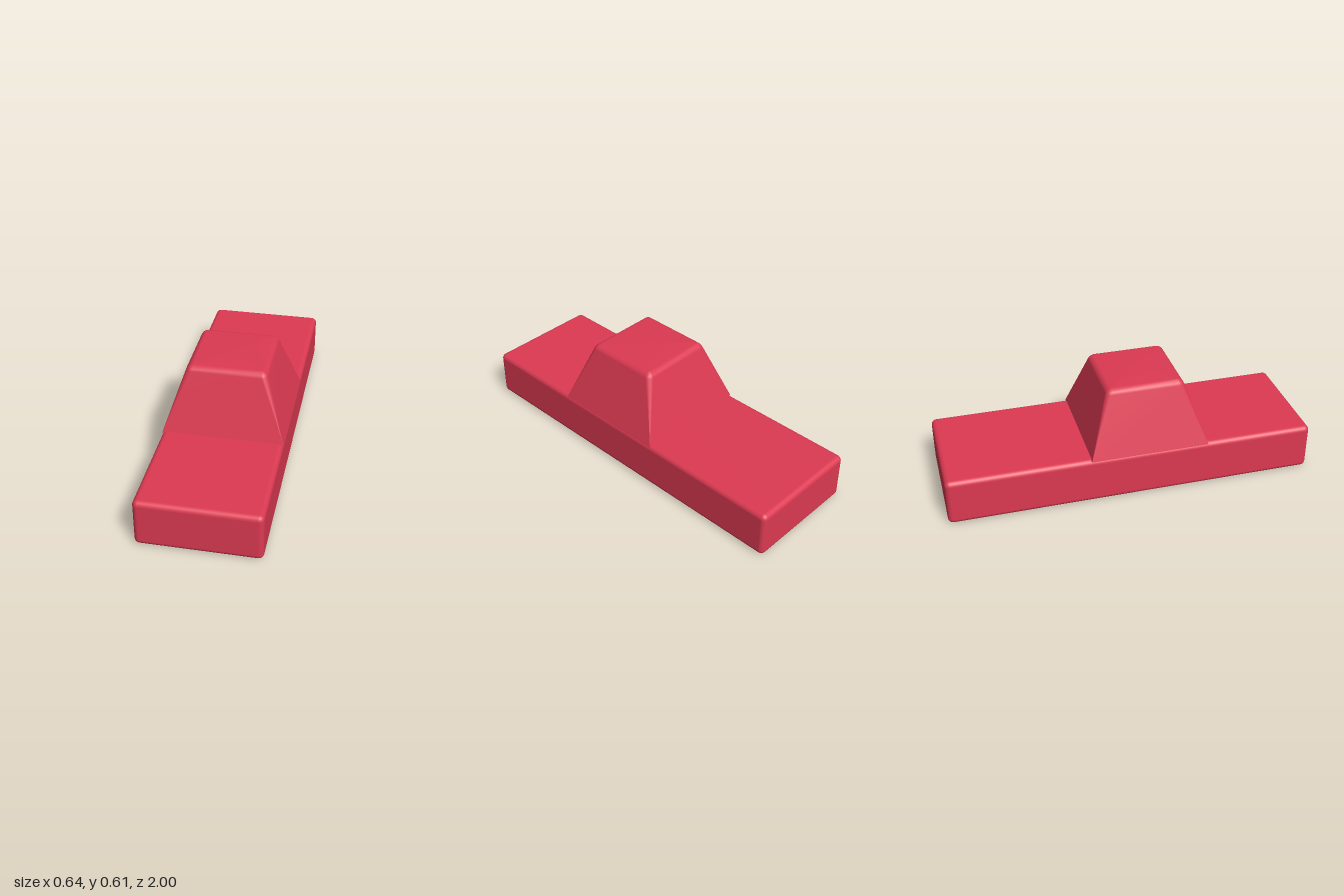
import * as THREE from 'three';
import { RoundedBoxGeometry } from 'three/addons/geometries/RoundedBoxGeometry.js';

const CORNER_STEPS = 4;

// Square ring with rounded corners, as [x, y, z] points
function ring({ y, half, r }) {
  const points = [];
  for (let c = 0; c < 4; c++) {
    const mid = Math.PI / 4 + c * Math.PI / 2;
    const cx = Math.sign(Math.cos(mid)) * (half - r);
    const cz = Math.sign(Math.sin(mid)) * (half - r);
    for (let s = 0; s <= CORNER_STEPS; s++) {
      const a = c * Math.PI / 2 + (s / CORNER_STEPS) * Math.PI / 2;
      points.push([cx + r * Math.cos(a), y, cz + r * Math.sin(a)]);
    }
  }
  return points;
}

// Closed loft through the rings, with a smooth top and a sharp bottom rim
function loft(sections) {
  const rings = sections.map(ring);
  const n = rings[0].length;
  const positions = rings.flat(2);
  const index = [];
  const addPoint = (p) => positions.push(...p) / 3 - 1;

  for (let i = 0; i < rings.length - 1; i++) {
    for (let j = 0; j < n; j++) {
      const k = (j + 1) % n;
      const a = i * n + j, b = i * n + k, c = a + n, d = b + n;
      index.push(a, c, b, b, c, d);
    }
  }

  const last = (rings.length - 1) * n;
  const top = addPoint([0, sections[sections.length - 1].y, 0]);
  const bottom = addPoint([0, sections[0].y, 0]);
  const rim = rings[0].map(addPoint);
  for (let j = 0; j < n; j++) {
    const k = (j + 1) % n;
    index.push(top, last + k, last + j);
    index.push(bottom, rim[j], rim[k]);
  }

  const geometry = new THREE.BufferGeometry();
  geometry.setAttribute('position', new THREE.Float32BufferAttribute(positions, 3));
  geometry.setIndex(index);
  geometry.computeVertexNormals();
  return geometry;
}

export function createModel() {
  const model = new THREE.Group();
  const red = new THREE.MeshStandardMaterial({ color: 0xdd3a52 });
  red.name = 'red';

  // Long rounded slab
  const body = new THREE.Mesh(new RoundedBoxGeometry(0.64, 0.26, 2, 4, 0.028), red);
  body.name = 'body';
  body.position.y = 0.13;

  // Tapered cabin: sharp at the base, rounded towards the roof
  const cabin = new THREE.Mesh(loft([
    { y: 0.253, half: 0.321, r: 0 },
    { y: 0.578, half: 0.214, r: 0.03 },
    { y: 0.59, half: 0.207, r: 0.026 },
    { y: 0.6, half: 0.196, r: 0.018 },
    { y: 0.605, half: 0.18, r: 0.006 },
  ]), red);
  cabin.name = 'cabin';
  cabin.position.z = 0.087;

  model.add(body, cabin);
  return model;
}
